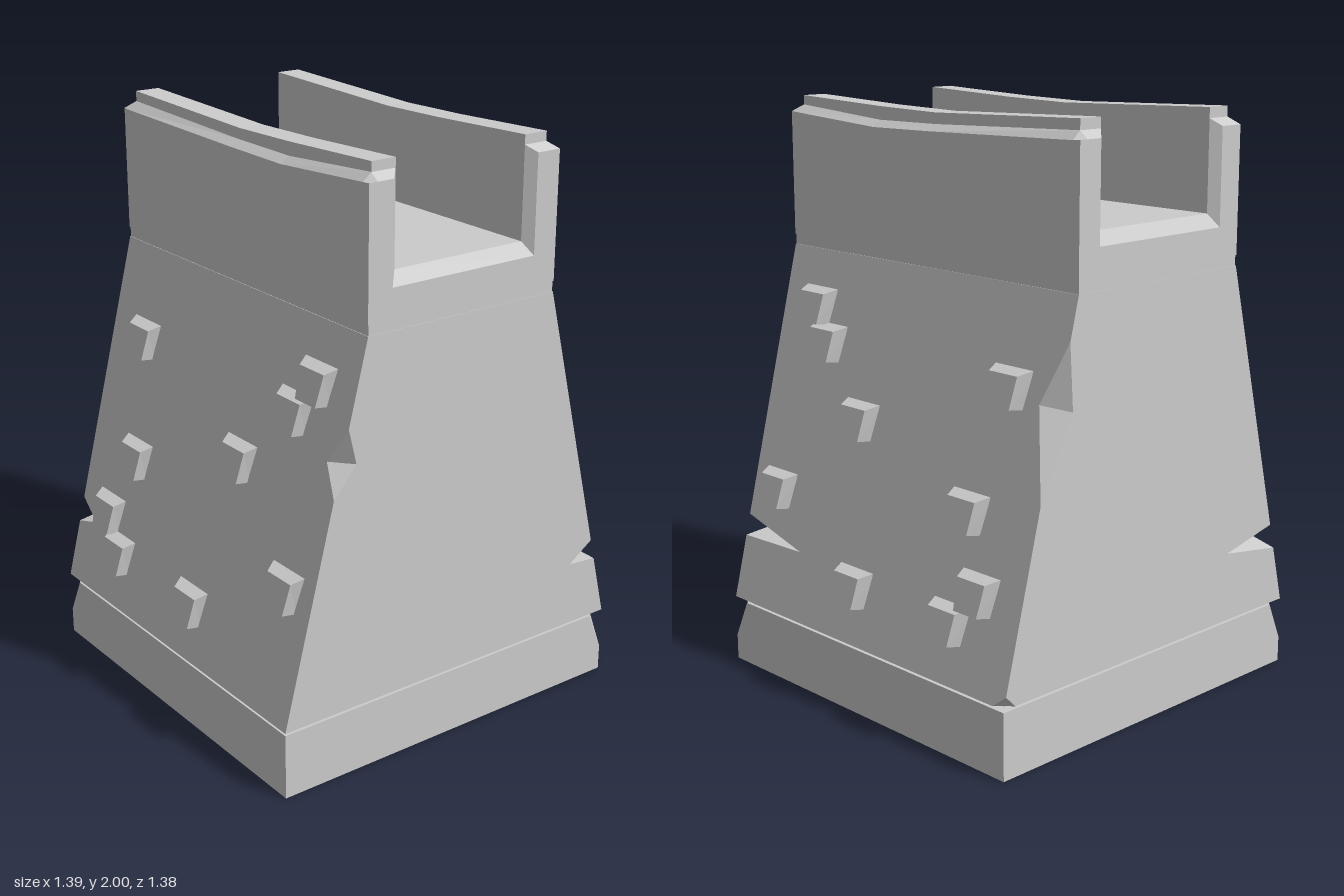
import * as THREE from 'three';

const H = 0.69; // half footprint
const Y0 = 0.236, Y1 = 1.48; // sloping body, bottom and top
const slopeX = (y) => H - ((y - Y0) * (H - 0.375)) / (Y1 - Y0);
const V = (x, y, z) => new THREE.Vector3(x, y, z);

// Adds a planar polygon, wound so that it faces the direction `out`.
function face(tris, points, out) {
  let p = points.filter((q, i) => q.distanceTo(points[(i + 1) % points.length]) > 1e-5);
  const n = V(0, 0, 0);
  p.forEach((q, i) => n.add(q.clone().cross(p[(i + 1) % p.length])));
  if (p.length < 3 || n.length() < 1e-9) return;
  if (n.dot(out) < 0) { p = p.reverse(); n.negate(); }
  n.normalize();
  const u = p[1].clone().sub(p[0]).normalize();
  const v = n.clone().cross(u);
  const flat = p.map((q) => new THREE.Vector2(q.dot(u), q.dot(v)));
  for (const t of THREE.ShapeUtils.triangulateShape(flat, [])) tris.push(p[t[0]], p[t[1]], p[t[2]]);
}

function toMesh(name, tris, material) {
  const geometry = new THREE.BufferGeometry().setFromPoints(tris);
  geometry.computeVertexNormals();
  const mesh = new THREE.Mesh(geometry, material);
  mesh.name = name;
  return mesh;
}

// Sloping body; each corner has wedge notches and some have a chipped foot.
// Notch: a, b = top and bottom on the edge; s, f = [depth, y] on the side and end faces.
function bodyTriangles() {
  const tris = [];
  const corners = [
    { sx: 1, sz: 1, notches: [{ a: 0.53, b: 0.455, s: [0.31, 0.465], f: [0.115, 0.465] }] },
    { sx: 1, sz: -1, chip: 0.05, notches: [{ a: 1.34, b: 0.85, s: [0.08, 1.14], f: [0.07, 1.12] }] },
    { sx: -1, sz: -1, notches: [{ a: 0.53, b: 0.44, s: [0.11, 0.47], f: [0.25, 0.48] }] },
    { sx: -1, sz: 1, notches: [{ a: 1.2, b: 0.98, s: [0.07, 1.08], f: [0.06, 1.08] }] },
  ];
  for (const c of corners) {
    const edge = (y) => V(c.sx * slopeX(y), y, c.sz * H);
    const onSide = ([d, y]) => V(c.sx * slopeX(y), y, c.sz * (H - d));
    const onEnd = ([d, y]) => V(c.sx * (slopeX(y) - d), y, c.sz * H);
    c.side = []; c.end = [];
    if (c.chip) {
      const s = onSide([c.chip, Y0]), f = onEnd([c.chip, Y0]), a = edge(Y0 + 0.04);
      c.side.push(s, a); c.end.push(f, a);
      face(tris, [a, s, f], V(c.sx, 0, c.sz));
    } else {
      c.side.push(edge(Y0)); c.end.push(edge(Y0));
    }
    for (const n of c.notches) {
      const a = edge(n.a), b = edge(n.b), s = onSide(n.s), f = onEnd(n.f);
      c.side.push(b, s, a); c.end.push(b, f, a);
      face(tris, [a, f, s], b.clone().sub(a));
      face(tris, [b, s, f], a.clone().sub(b));
    }
    c.side.push(edge(Y1)); c.end.push(edge(Y1));
  }
  const [fr, br, bl, fl] = corners;
  const join = (p, q) => [...p, ...[...q].reverse()];
  face(tris, join(fr.side, br.side), V(1, 0, 0));
  face(tris, join(fl.side, bl.side), V(-1, 0, 0));
  face(tris, join(fr.end, fl.end), V(0, 0, 1));
  face(tris, join(br.end, bl.end), V(0, 0, -1));
  face(tris, corners.map((c) => V(c.sx * H, Y0, c.sz * H)), V(0, -1, 0));
  face(tris, corners.map((c) => V(c.sx * 0.375, Y1, c.sz * H)), V(0, 1, 0));
  return tris;
}

// Square plinth with two opposite top corners knocked off.
function plinthTriangles() {
  const tris = [], top = 0.228, topRing = [];
  for (const [sx, sz] of [[1, 1], [1, -1], [-1, -1], [-1, 1]]) {
    if (sx === sz) {
      const onEnd = V(sx * 0.63, top, sz * H), onSide = V(sx * H, top, sz * 0.62);
      const low = V(sx * H, 0.09, sz * H);
      face(tris, [onEnd, onSide, low], V(sx, 1, sz));
      topRing.push(onEnd, onSide);
      // side and end walls meeting at this corner
      face(tris, [V(sx * H, 0, sz * H), low, onSide, V(sx * H, top, -sz * H), V(sx * H, 0, -sz * H)], V(sx, 0, 0));
      face(tris, [V(sx * H, 0, sz * H), low, onEnd, V(-sx * H, top, sz * H), V(-sx * H, 0, sz * H)], V(0, 0, sz));
    } else topRing.push(V(sx * H, top, sz * H));
  }
  face(tris, topRing, V(0, 1, 0));
  face(tris, [V(H, 0, H), V(H, 0, -H), V(-H, 0, -H), V(-H, 0, H)], V(0, -1, 0));
  return tris;
}

// U-shaped channel with sagging, stepped parapets, lofted from front to back.
function channelTriangles() {
  const tris = [];
  // z, shoulder y, ledge y, cap y, inner half width, floor y
  const stations = [
    [0.69, 1.945, 1.945, 1.945, 0.285, 1.615],
    [0.66, 1.943, 1.968, 1.968, 0.255, 1.66],
    [0.66, 1.943, 1.968, 2.0, 0.255, 1.66],
    [0.25, 1.918, 1.94, 1.985, 0.255, 1.66],
    [-0.02, 1.922, 1.943, 1.98, 0.255, 1.66],
    [-0.66, 1.938, 1.965, 2.0, 0.255, 1.66],
    [-0.66, 1.938, 1.965, 1.965, 0.255, 1.66],
    [-0.69, 1.94, 1.94, 1.94, 0.285, 1.615],
  ];
  const rings = stations.map(([z, a, b, c, w, f]) => {
    const half = [[0.376, 1.515], [0.376, a], [0.345, b], [0.345, c], [w, c], [w, f]];
    return [...half.map(([x, y]) => V(x, y, z)), ...half.reverse().map(([x, y]) => V(-x, y, z))];
  });
  for (let k = 0; k + 1 < rings.length; k++) {
    const p = rings[k], q = rings[k + 1];
    p.forEach((_, i) => {
      const j = (i + 1) % p.length;
      tris.push(p[i], q[i], q[j], p[i], q[j], p[j]);
    });
  }
  face(tris, rings[0], V(0, 0, 1));
  face(tris, rings[rings.length - 1], V(0, 0, -1));
  return tris;
}

// Wedge-sided stone standing out of the sloping wall.
function stoneTriangles(sx, z, y) {
  const tris = [];
  const quad = (w0, w1, h, dz, dy, out) =>
    [[w0, h], [-w0, h], [-w1, -h], [w1, -h]].map(([a, b]) =>
      V(sx * (slopeX(y + b + dy) + out), y + b + dy, z + a + dz));
  const inner = quad(0.088, 0.07, 0.063, 0, 0, -0.01);
  const outer = quad(0.062, 0.052, 0.052, 0.008, -0.008, 0.04);
  const centre = V(sx * slopeX(y), y, z);
  face(tris, outer, V(sx, 0, 0));
  for (let i = 0; i < 4; i++) {
    const j = (i + 1) % 4;
    const out = inner[i].clone().add(inner[j]).multiplyScalar(0.5).sub(centre);
    face(tris, [inner[i], inner[j], outer[j]], out);
    face(tris, [inner[i], outer[j], outer[i]], out);
  }
  return tris;
}

export function createModel() {
  const group = new THREE.Group();
  const stone = new THREE.MeshStandardMaterial({ color: 0xcccccc, flatShading: true });
  const block = (name, w, h, d, y) => {
    const mesh = new THREE.Mesh(new THREE.BoxGeometry(w, h, d), stone);
    mesh.name = name;
    mesh.position.y = y;
    group.add(mesh);
  };

  group.add(toMesh('plinth', plinthTriangles(), stone));
  block('plinthGroove', 1.31, 0.02, 1.31, 0.23);
  group.add(toMesh('slopingBody', bodyTriangles(), stone));
  block('neck', 0.746, 0.045, 1.376, 1.498);
  group.add(toMesh('channelWithParapets', channelTriangles(), stone));

  // Protruding stones, the same on both sloping walls: z, y
  const stones = [[0.5, 1.295], [0.415, 1.18], [0.185, 0.955], [0.545, 0.655], [0.075, 0.425],
    [-0.48, 1.175], [-0.395, 0.775], [-0.5, 0.545], [-0.395, 0.43]];
  for (const sx of [1, -1]) {
    const wall = new THREE.Group();
    wall.name = sx > 0 ? 'leftWallStones' : 'rightWallStones';
    stones.forEach(([z, y]) => wall.add(toMesh('protrudingStone', stoneTriangles(sx, z, y), stone)));
    group.add(wall);
  }
  return group;
}
